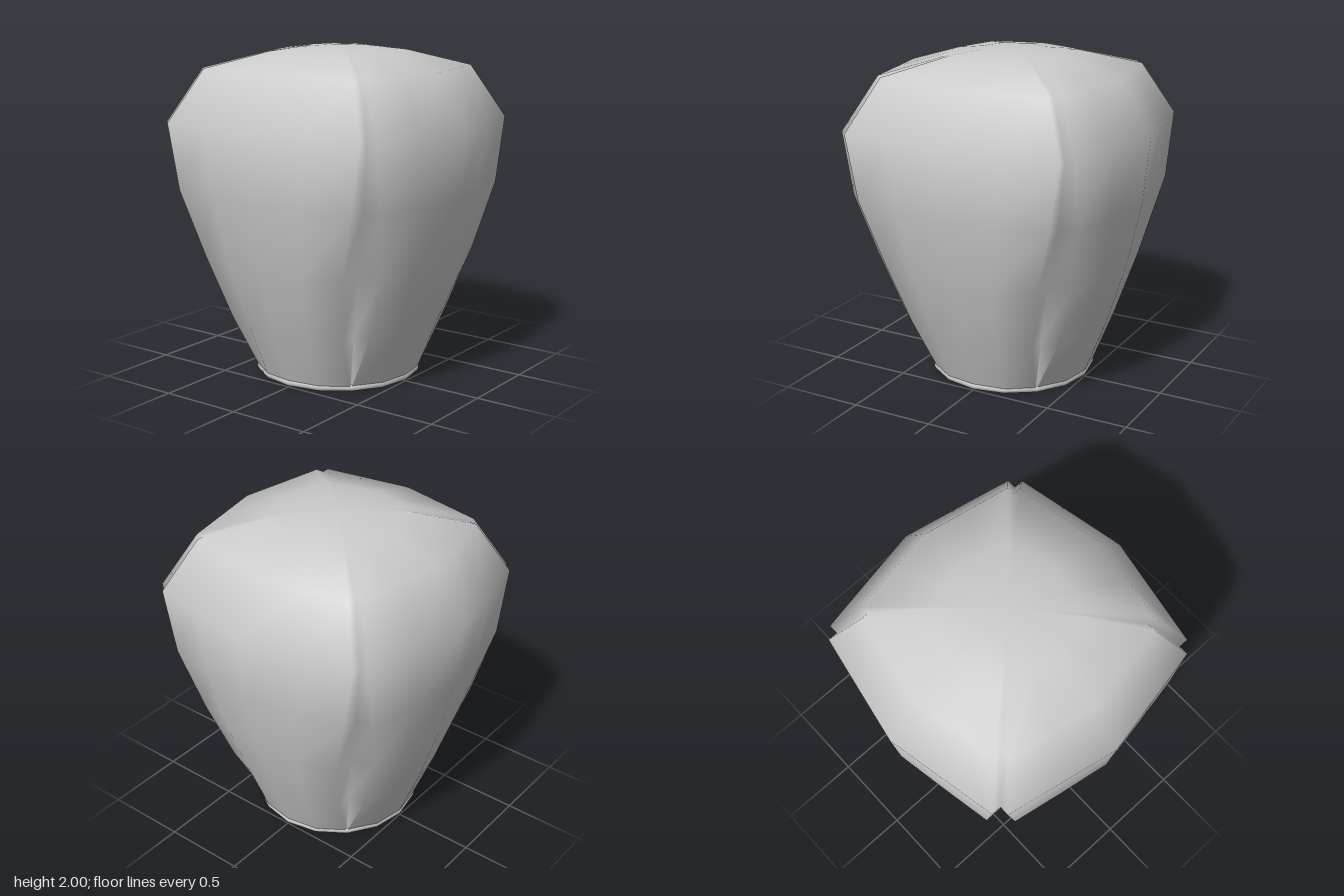
import * as THREE from 'three';

const material = new THREE.MeshStandardMaterial({ color: 0xcccccc, side: THREE.DoubleSide });

function part(name, geometry, parent) {
  const mesh = new THREE.Mesh(geometry, material);
  mesh.name = name;
  parent.add(mesh);
  return mesh;
}

// Paper shell: four bowed panels that meet in a notched seam at each corner
function shellGeometry() {
  // height, panel middle, seam depth, panel edge, quarter point [across, out]
  const levels = [
    [0.03, 0.495, 0.345, 0.355, 0.19, 0.46],
    [0.37, 0.63, 0.41, 0.52, 0.22, 0.59],
    [0.76, 0.755, 0.5, 0.65, 0.27, 0.715],
    [1.16, 0.845, 0.62, 0.735, 0.32, 0.79],
    [1.555, 0.885, 0.69, 0.75, 0.35, 0.817],
    [1.87, 0.69, 0.54, 0.59, 0.27, 0.64],
    [1.965, 0.38, 0.28, 0.3, 0.14, 0.345],
    [1.99, 0.2, 0.14, 0.145, 0.07, 0.175],
  ];
  const positions = [], index = [];
  for (const [y, mid, seam, edge, qx, qz] of levels) {
    const quarter = [[0, mid], [qx, qz], [seam, edge], [seam, seam], [edge, seam], [qz, qx]];
    for (let k = 0; k < 4; k++) {
      for (let [x, z] of quarter) {
        for (let r = 0; r < k; r++) [x, z] = [z, -x];
        positions.push(x, y, z);
      }
    }
  }
  const n = 24, last = (levels.length - 1) * n;
  for (let i = 0; i < levels.length - 1; i++) {
    for (let j = 0; j < n; j++) {
      const a = i * n + j, b = i * n + (j + 1) % n;
      index.push(a, b, b + n, a, b + n, a + n);
    }
  }
  // Closed crown
  const apex = positions.length / 3;
  positions.push(0, 2, 0);
  for (let j = 0; j < n; j++) index.push(last + j, last + (j + 1) % n, apex);

  const geometry = new THREE.BufferGeometry();
  geometry.setAttribute('position', new THREE.Float32BufferAttribute(positions, 3));
  geometry.setIndex(index);
  geometry.computeVertexNormals();
  return geometry;
}

export function createModel() {
  const lantern = new THREE.Group();
  lantern.name = 'skyLantern';

  part('paperShell', shellGeometry(), lantern);

  // Hoop around the open mouth
  const hoop = part('baseHoop', new THREE.TorusGeometry(0.483, 0.025, 8, 16), lantern);
  hoop.rotation.x = Math.PI / 2;
  hoop.position.y = 0.03;

  // Crossed wires carrying the burner
  for (let i = 0; i < 2; i++) {
    const wire = part('crossWire', new THREE.CylinderGeometry(0.012, 0.012, 0.96, 8), lantern);
    wire.rotation.set(i ? Math.PI / 2 : 0, 0, i ? 0 : Math.PI / 2);
    wire.position.y = 0.03;
  }

  // Small burner cup with a flat fuel surface
  const cup = [[0, 0.025], [0.05, 0.035], [0.085, 0.065], [0.1, 0.11], [0.085, 0.11], [0, 0.1]];
  part('burnerCup', new THREE.LatheGeometry(cup.map(([x, y]) => new THREE.Vector2(x, y)), 16), lantern);

  return lantern;
}
